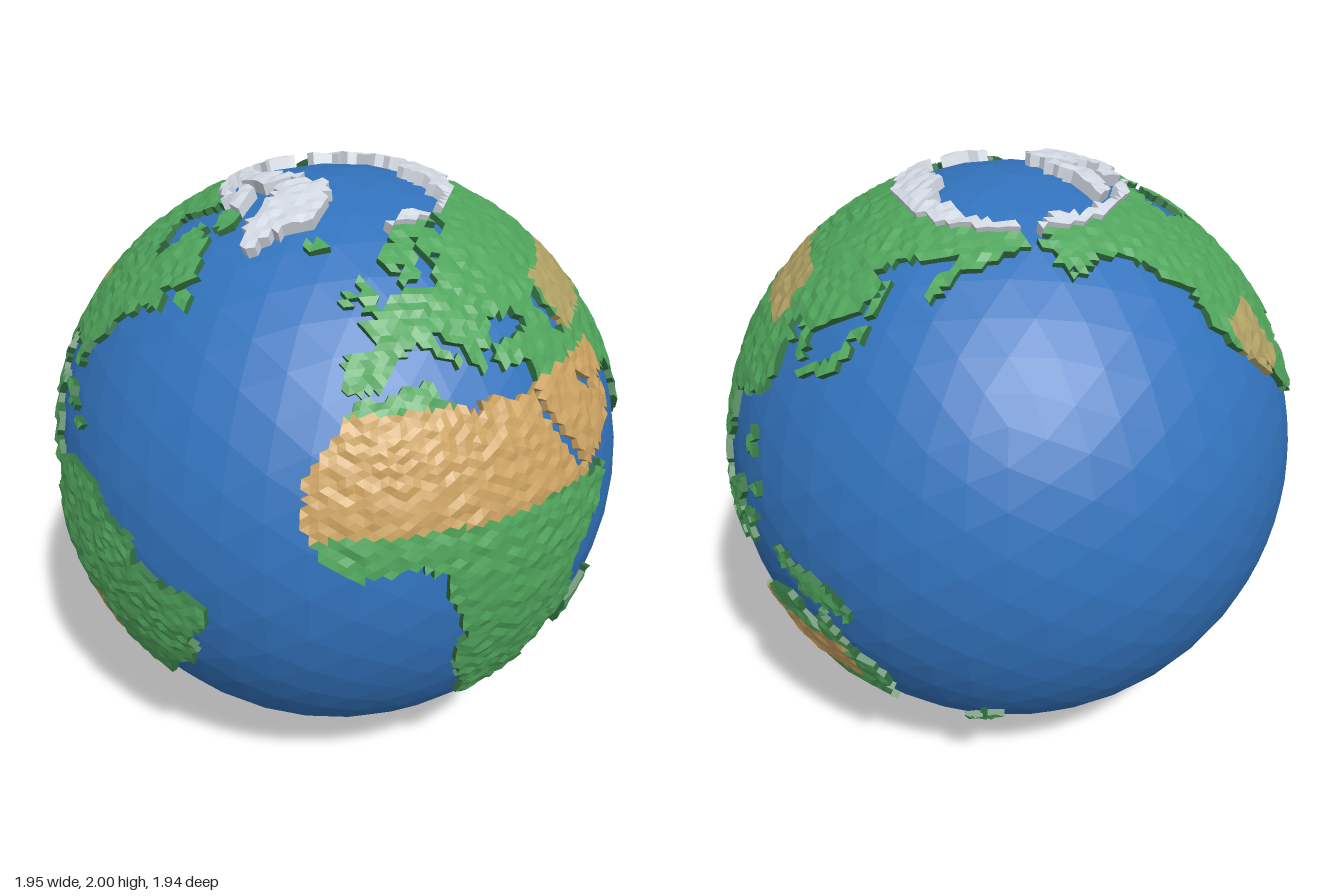
import * as THREE from 'three';
import { mergeVertices } from 'three/addons/utils/BufferGeometryUtils.js';

const OCEAN_R = 0.962, LAND_R = 0.981, ICE_R = 0.999, BASE_R = 0.945;

const paint = (name, color) => {
  const m = new THREE.MeshStandardMaterial({ color });
  m.name = name;
  return m;
};
const materials = {
  ocean: paint('ocean blue', 0x3273bd),
  green: paint('land green', 0x50a55c),
  cliff: paint('coast dark green', 0x347343),
  desert: paint('desert sand', 0xcca362),
  steppe: paint('steppe olive', 0xb2a265),
  ice: paint('polar ice', 0xd3d9e3),
};

// Coast outlines as longitude, latitude pairs in degrees
const lands = [];
const land = (name, outline) => lands.push({ name, outline });

land('africa', [-17, 15, -16, 20.5, -17, 21, -13, 27.5, -9.8, 30, -9, 33, -6, 35.8, -2, 35, 3, 36.8, 10, 37.3,
  11, 34, 15, 32.3, 19, 30.3, 20, 32.7, 24, 32, 29, 31, 34, 31.2, 33, 28.5, 35.5, 24, 37.3, 20.5, 39.5, 15.5,
  43, 12, 44.5, 10.5, 51, 11.8, 50, 8, 46.5, 3, 42, -1.5, 39, -5, 40.5, -11, 40.5, -15.5, 35, -20, 35.5, -24,
  32.7, -26, 32, -29, 28, -33, 25.5, -34, 20, -34.8, 18, -33, 17, -29, 14.5, -23, 12, -17, 13.5, -12, 12, -5.5,
  9, -1, 9.5, 4, 6, 4.3, 4, 6.3, -2, 5, -7.5, 4.4, -13, 8.5, -15, 11]);
land('arabia', [34.5, 30, 35, 28, 39, 21.5, 42.7, 16.5, 43.5, 12.7, 48, 14, 52, 15.8, 55, 17.5, 57.8, 19,
  59.8, 22.5, 56.5, 24.5, 56.3, 26, 54, 24.2, 51.5, 24.5, 51.3, 26, 50, 26.7, 48, 30, 48, 33, 34.8, 33]);
land('middleEast', [26.5, 39.5, 27, 37, 30.5, 36.3, 36, 36.7, 35.5, 34, 34.5, 31.3, 34.5, 30, 48, 30, 50.5, 29.5,
  52, 27.7, 54.5, 26.5, 57, 27, 57.5, 25.5, 62, 25, 67, 25, 70, 38, 54, 37, 50, 37.3, 48.8, 39, 49.5, 40.5,
  47.5, 43, 40, 43.5, 41.5, 41.5, 36, 41.5, 31, 41.3, 29, 41]);
land('southAsia', [62, 25, 66.5, 25, 68, 23.5, 70, 20.8, 72.7, 21, 73, 17, 74.8, 13, 77.3, 8.2, 79.8, 10.5,
  80.2, 15, 85, 19.8, 88, 21.7, 91.5, 22.5, 94.3, 18, 95, 16, 97.5, 16.5, 98.5, 10, 100.5, 6.5, 101.5, 3,
  103.8, 1.4, 103.3, 5, 100, 9.5, 99.8, 13, 102, 12.5, 105, 8.8, 109, 11.5, 108.5, 15.5, 106, 19.5, 109, 21.5,
  113.5, 22.3, 118.5, 24.5, 121.8, 28.5, 121.5, 32, 119.3, 35, 122.3, 37, 118, 38.5, 121, 40.7, 124.5, 39.8,
  126.5, 34.5, 129.3, 35.5, 127.7, 39.5, 131.5, 43, 135.5, 44.5, 140.3, 48.5, 141, 53, 60, 53]);
land('northAsia', [60, 50, 141, 53, 136, 55, 142, 59, 150, 59.5, 156, 61.5, 162.5, 61, 156, 57, 156.5, 51,
  160, 53.5, 163, 58, 170, 60, 179, 62.5, 187, 64.5, 190, 66, 182, 69, 170, 70, 160, 69.8, 150, 71.7, 140, 72.7,
  130, 71.2, 125, 73.5, 113, 74, 104, 77.5, 97, 76, 87, 75, 80, 72.5, 72, 72.8, 68, 69, 60, 69, 54, 68.6, 44, 68,
  43.5, 66, 40, 64.7, 37, 64, 32.5, 67, 41, 66.6, 40, 68, 33, 69.5, 28, 71, 22, 70.2, 15, 68.5, 12, 65, 5, 62,
  5.3, 59, 8, 58, 11, 59, 12.7, 55.6, 14.3, 55.5, 16.5, 57, 18.8, 60, 17.3, 61.5, 21.5, 64.5, 25, 65.5, 22, 63,
  21.3, 61, 23, 60, 30, 60, 40, 50]);
land('europe', [60, 50, 60, 60, 30, 60, 28, 59.5, 23.5, 59, 24, 57.5, 21.2, 57.3, 21, 55.3, 19, 54.4, 14, 54,
  11, 54, 10.5, 57.5, 8.2, 57, 8.7, 54, 5, 53.2, 2, 51, -1.5, 49.5, -4.7, 48.4, -1.5, 46.5, -1.5, 43.5, -9, 43.5,
  -9, 37, -6, 36.2, -2, 36.8, 0, 39, 3.2, 42, 6, 43.1, 9, 44.3, 10.5, 42.8, 15.6, 40, 16, 38, 18.3, 40, 14, 42.5,
  12.5, 45.3, 14, 45, 19.3, 42, 20, 39.5, 22, 36.7, 24, 38, 23, 40.5, 28, 41, 28, 43.5, 30.5, 46, 33, 46,
  34, 44.5, 36, 45.3, 39, 47, 37.5, 44.7, 41, 43, 47.5, 42.5, 47, 45, 50.5, 46.8, 53, 46.5, 51.3, 44.5, 53.5, 40,
  54, 37, 62, 37]);
land('northAmerica', [-168, 65.7, -162, 63, -165, 61, -158, 58.5, -164, 54.7, -152, 59, -148, 60.5, -140, 59.8,
  -134, 57.5, -128, 51, -123.5, 48, -124.3, 42, -120.5, 34.5, -117, 32.5, -110, 30, -97, 26, -94, 29.5, -89.5, 29.3,
  -84, 30, -82.5, 27.5, -80.8, 25.2, -80.3, 27.5, -81.3, 31, -76, 35.2, -74, 40, -70, 42, -70, 43.8, -66, 44.5,
  -61, 45.5, -65, 48.5, -60, 50, -55.7, 52.5, -61, 56.5, -65, 60.5, -70, 61, -73, 62.3, -78, 62.2, -77, 57,
  -79, 54.5, -80, 51.3, -82.3, 53, -87, 56.5, -94.5, 58.8, -93, 62, -87, 64.5, -82, 69, -95, 70.5, -108, 69,
  -115, 69.5, -128, 70.3, -141, 69.9, -156, 71.2, -166, 68.3, -162, 66.5]);
land('centralAmerica', [-117, 32.7, -112, 26, -109.7, 23, -112.5, 29, -114, 31.5, -112.5, 30.5, -109, 25.5,
  -105.5, 20.5, -102, 18, -95, 16, -92, 14.5, -87.5, 13, -85.5, 10.5, -83, 8.3, -80, 7.3, -77.5, 7, -77, 9,
  -79.5, 9.7, -83, 10.5, -83.3, 15, -88.5, 16, -87, 21.3, -90.5, 21, -91.5, 18.5, -95.5, 18.7, -97.7, 22.5,
  -97, 27.5, -105, 33]);
land('southAmerica', [-77.5, 8.5, -75, 10.8, -72, 12, -68, 11, -62, 10.5, -57, 6, -51, 4.5, -50, 0, -44, -2.5,
  -39, -3.5, -35, -6, -35, -9, -39, -13, -39, -18, -41, -22, -48, -25.5, -49, -28.5, -53.5, -34, -58, -34.5,
  -57, -37.5, -62, -39, -65, -41, -65.5, -45, -67.5, -46.5, -66, -48, -69, -51, -65.5, -55, -70, -55, -74.5, -52,
  -75.5, -47, -73.5, -40, -71.5, -31, -70.3, -19, -76, -14, -79.5, -7.5, -81, -4.5, -80, 0.5, -77.5, 4]);
land('australia', [114, -22, 122, -17.5, 126, -14, 130.5, -12, 136.5, -12, 135.5, -15, 140, -17.7, 142.3, -10.8,
  146, -19, 150, -22.5, 153.3, -27, 152.5, -32.5, 150, -37.3, 146.5, -39, 140.5, -38, 138, -34, 135, -34.7,
  131, -31.5, 124, -33, 118, -35, 115, -34.3, 115.5, -31]);
land('antarctica', [-180, -75, -150, -75, -125, -73, -100, -72, -75, -72, -66, -67, -57, -63.3, -58, -67, -61, -72,
  -45, -75, -25, -73, -10, -70.5, 20, -69.5, 50, -67, 70, -69, 90, -67, 115, -67, 140, -67, 160, -69, 170, -71,
  173, -75, 180, -75, 180, -90.1, -180, -90.1]);
land('greenland', [-45, 60, -53, 66, -54, 70, -60, 76, -70, 77, -66, 80.5, -45, 82.5, -30, 83.7, -20, 81.5, -20, 75,
  -22, 71, -32, 68, -40, 65]);
// Islands
land('arcticIslands', [-118, 72, -105, 71.5, -95, 74, -80, 75, -75, 78.5, -63, 82, -80, 83, -100, 78.5]);
land('baffinIsland', [-64, 63, -72, 64, -78, 70, -88, 73, -80, 73.5, -68, 70, -62, 66.5]);
land('newfoundland', [-59, 47.8, -56, 51.4, -53, 47]);
land('cuba', [-84.8, 22, -81, 23.3, -75, 20.8, -77.5, 19.8, -79, 21.3]);
land('hispaniola', [-74, 18.2, -73, 20, -68.7, 18.9, -71.5, 17.7]);
land('iceland', [-24, 65.5, -22, 63.9, -18, 63.4, -14, 65, -16, 66.4]);
land('britain', [-5.5, 50.2, 1.3, 51.2, 1.5, 53, -1.8, 56, -2, 57.6, -4, 58.6, -6, 57, -3.2, 54.5, -4.5, 53, -4, 51.5]);
land('ireland', [-10, 52, -6.3, 52.2, -6, 55, -8.5, 55]);
land('madagascar', [44, -17, 47, -15, 49.5, -12, 50.3, -15.8, 47.2, -25, 44, -25, 43.3, -22]);
land('sriLanka', [79.7, 9.6, 81.8, 7.5, 80.5, 5.8, 79.7, 7]);
land('sumatra', [95.3, 5.6, 98.5, 4, 104, -2, 106, -5.8, 102, -4.5, 98.7, 1.5]);
land('java', [105, -6, 108, -6.1, 114.5, -7.3, 114.5, -8.9, 106, -7.8]);
land('borneo', [109, 1.5, 113, 3, 117, 7, 119, 5, 117.5, 1, 116, -4, 111, -3]);
land('sulawesi', [119, -3, 120, 1.2, 125, 1.6, 124.8, 0.3, 121, 0, 123, -1, 121.5, -2, 122.7, -5, 120.5, -5.5]);
land('newGuinea', [131, -1, 134.5, -1, 135, -3.2, 141, -2.6, 147.5, -6, 150.5, -10.5, 147, -10, 143, -9, 138, -8,
  138, -5.5, 133, -4]);
land('luzon', [120, 16, 121, 18.6, 122.2, 18.4, 121.8, 16, 124, 13, 120.6, 13.6]);
land('mindanao', [122, 7, 125.5, 9.8, 126.5, 7, 125.3, 5.6]);
land('taiwan', [120, 23, 121.5, 25.2, 121.8, 24.5, 120.8, 22]);
land('japan', [129.7, 33, 130.5, 31, 132, 33, 136, 33.5, 140, 35, 142, 39.5, 141.3, 41.5, 140, 40.5, 138.5, 37.5,
  136, 36, 131, 34.5]);
land('hokkaido', [140, 41.7, 143.3, 42, 145.5, 43.3, 141.8, 45.4]);
land('sakhalin', [141.8, 46, 143.7, 49, 143.2, 54, 142, 53.5]);
land('tasmania', [144.7, -40.8, 148.3, -40.8, 147, -43.6, 145.5, -43]);
land('northNewZealand', [172.7, -34.5, 175.5, -36.7, 178.4, -37.8, 175.2, -41.5, 173.8, -39.3, 174.5, -37.5]);
land('southNewZealand', [172.7, -40.6, 174.2, -41.7, 171, -45.3, 168.5, -46.6, 166.5, -46]);

// Dry regions: west, east, south, north, colour
const dryRegions = [
  [-20, 61.5, 12, 32.8, 'desert'], [118.5, 146, -31, -19, 'desert'], [-72, -67, -28, -18, 'desert'],
  [54, 113, 36.5, 48.5, 'steppe'], [-119, -103.5, 26, 39.5, 'steppe'],
];

function inside(outline, x, y) {
  let hit = false;
  for (let i = 0, j = outline.length - 2; i < outline.length; j = i, i += 2) {
    const [x1, y1, x2, y2] = [outline[i], outline[i + 1], outline[j], outline[j + 1]];
    if ((y1 > y) !== (y2 > y) && x < ((x2 - x1) * (y - y1)) / (y2 - y1) + x1) hit = !hit;
  }
  return hit;
}

// Which land, and which kind of ground, lies under a direction
function survey(dir) {
  const lon = THREE.MathUtils.radToDeg(Math.atan2(dir.x, dir.z));
  const lat = THREE.MathUtils.radToDeg(Math.asin(dir.y));
  const found = lands.find((l) => inside(l.outline, lon, lat) || inside(l.outline, lon + 360, lat));
  if (!found) return null;
  const dry = dryRegions.find(([w, e, s, n]) => lon > w && lon < e && lat > s && lat < n);
  const frozen = found.name === 'greenland' || lat > 68 || lat < -66.8;
  return { name: found.name, kind: frozen ? 'ice' : dry ? dry[4] : 'green', level: frozen ? 2 : 1 };
}

function flatGeometry(positions) {
  const g = new THREE.BufferGeometry();
  g.setAttribute('position', new THREE.Float32BufferAttribute(positions, 3));
  g.computeVertexNormals();
  return g;
}

export function createModel() {
  const globe = new THREE.Group();
  globe.name = 'globe';

  // Ocean ball with flat facets
  const ball = new THREE.IcosahedronGeometry(OCEAN_R, 7);
  ball.computeVertexNormals();
  const ocean = new THREE.Mesh(ball, materials.ocean);
  ocean.name = 'ocean';
  globe.add(ocean);

  // Fine triangle grid from which the land plates are cut
  const fine = new THREE.IcosahedronGeometry(1, 39);
  fine.deleteAttribute('normal');
  fine.deleteAttribute('uv');
  const grid = mergeVertices(fine, 1e-4);
  const index = grid.index.array;
  const points = [];
  for (let i = 0; i < grid.attributes.position.count; i++) {
    points.push(new THREE.Vector3().fromBufferAttribute(grid.attributes.position, i).normalize());
  }
  const bump = points.map((p, i) => {
    const s = Math.sin(i * 12.9898 + 4.1) * 43758.5453;
    return (s - Math.floor(s) - 0.5) * 0.011;
  });

  const tiles = [];
  const edgeLevel = new Map();
  for (let t = 0; t < index.length; t += 3) {
    const corners = [index[t], index[t + 1], index[t + 2]];
    const centre = new THREE.Vector3();
    corners.forEach((c) => centre.add(points[c]));
    const ground = survey(centre.normalize());
    if (!ground) continue;
    tiles.push({ corners, ...ground });
    corners.forEach((c, k) => edgeLevel.set(`${c}_${corners[(k + 1) % 3]}`, ground.level));
  }

  // Bumpy tops, and cliffs wherever the neighbour is lower
  const parts = new Map();
  const add = (place, kind, ...verts) => {
    const key = `${place} ${kind}`;
    if (!parts.has(key)) parts.set(key, { kind, positions: [] });
    verts.forEach((v) => parts.get(key).positions.push(v.x, v.y, v.z));
  };
  for (const { corners, name, kind, level } of tiles) {
    const top = corners.map((c) => points[c].clone().multiplyScalar((level === 2 ? ICE_R : LAND_R) + bump[c]));
    const low = corners.map((c) => points[c].clone().multiplyScalar(BASE_R));
    add(name, kind, ...top);
    for (let a = 0; a < 3; a++) {
      const b = (a + 1) % 3;
      if ((edgeLevel.get(`${corners[b]}_${corners[a]}`) ?? 0) >= level) continue;
      add(name, kind === 'green' ? 'cliff' : kind, low[a], low[b], top[b], low[a], top[b], top[a]);
    }
  }
  for (const [key, { kind, positions }] of parts) {
    const mesh = new THREE.Mesh(flatGeometry(positions), materials[kind]);
    mesh.name = key;
    globe.add(mesh);
  }

  globe.position.set(0, 1, -0.01);
  const model = new THREE.Group();
  model.name = 'model';
  model.add(globe);
  return model;
}
